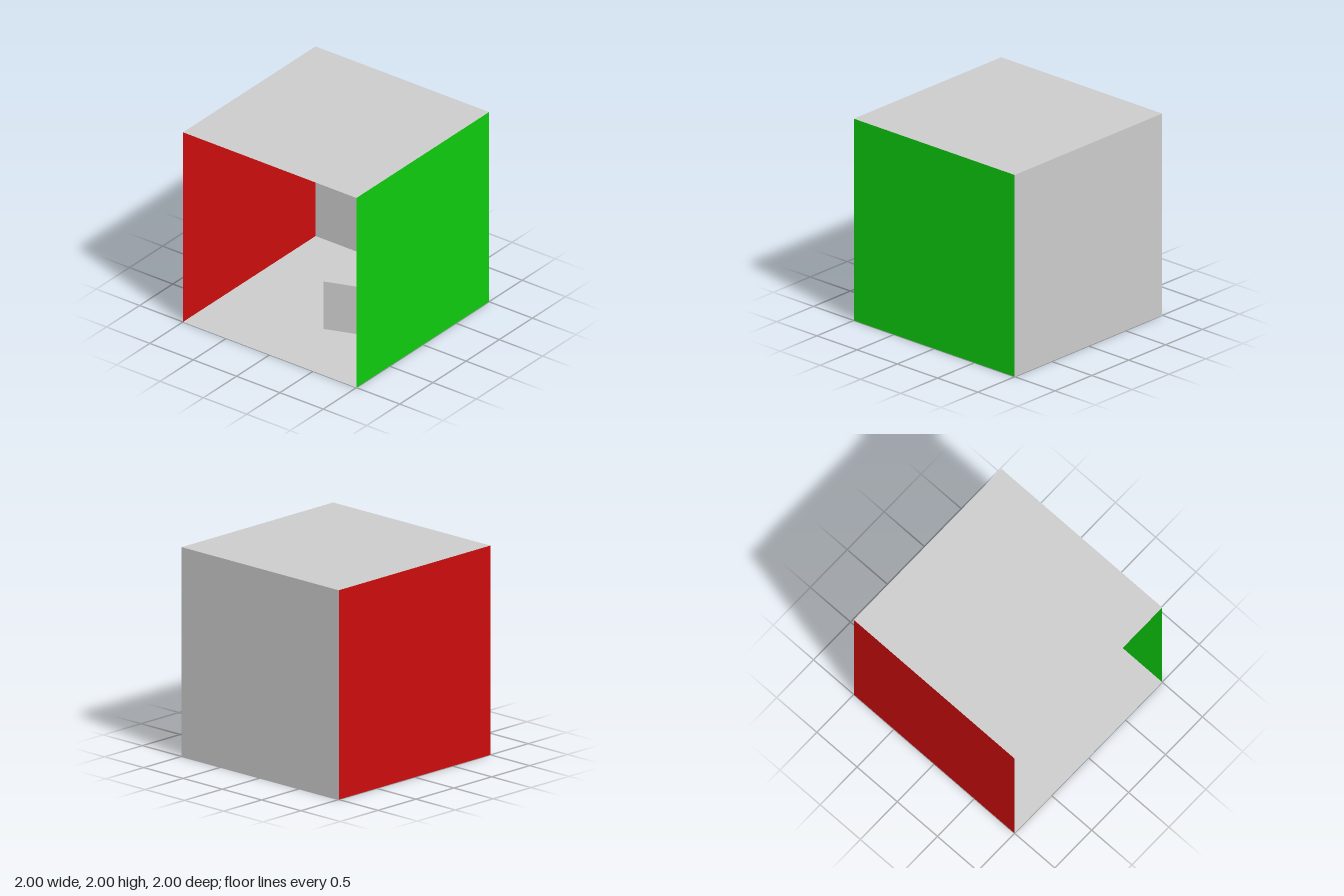
import * as THREE from 'three';

const SIZE = 2;

function material(name, color) {
  const m = new THREE.MeshStandardMaterial({ color, side: THREE.DoubleSide });
  m.name = name;
  return m;
}

export function createModel() {
  const room = new THREE.Group();
  room.name = 'room';

  const grey = material('lightGrey', 0xcccccc);
  const red = material('red', 0xcc0d0d);
  const green = material('green', 0x0dcc0d);

  // Thin square panel, its front turned towards the inside of the room
  const panel = (name, mat, position, rx, ry) => {
    const mesh = new THREE.Mesh(new THREE.PlaneGeometry(SIZE, SIZE), mat);
    mesh.name = name;
    mesh.position.set(...position);
    mesh.rotation.set(rx, ry, 0);
    room.add(mesh);
  };

  // Shell, open at the front
  const q = Math.PI / 2;
  panel('floor', grey, [0, 0, 0], -q, 0);
  panel('ceiling', grey, [0, SIZE, 0], q, 0);
  panel('backWall', grey, [0, 1, -1], 0, 0);
  panel('rightWall', red, [-1, 1, 0], 0, q);
  panel('leftWall', green, [1, 1, 0], 0, -q);

  // Turned cube standing on the floor
  const block = new THREE.Mesh(new THREE.BoxGeometry(0.5, 0.5, 0.5), grey);
  block.name = 'block';
  block.position.set(0.25, 0.25, 0);
  block.rotation.y = THREE.MathUtils.degToRad(20);
  room.add(block);

  return room;
}
